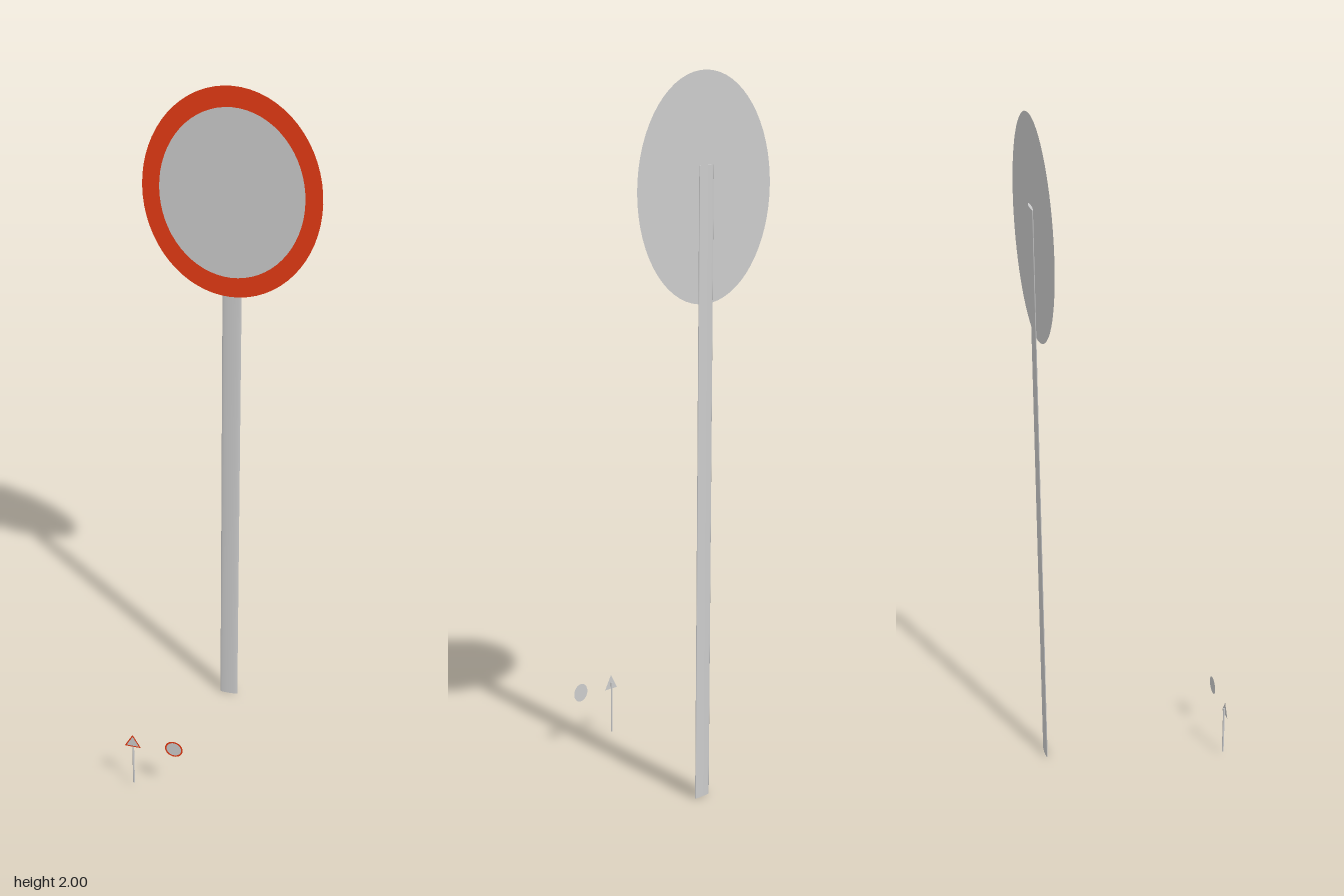
import * as THREE from 'three';

const grey = new THREE.MeshStandardMaterial({ color: 0xcccccc });
const red = new THREE.MeshStandardMaterial({ color: 0xe63b14 });

function add(parent, name, geometry, material, x, y, z) {
  const mesh = new THREE.Mesh(geometry, material);
  mesh.name = name;
  mesh.position.set(x, y, z);
  parent.add(mesh);
  return mesh;
}

// Regular polygon with one corner up, stretched to an ellipse where rx != ry
function outline(sides, rx, ry) {
  return Array.from({ length: sides }, (_, i) => {
    const a = Math.PI / 2 + (i / sides) * Math.PI * 2;
    return new THREE.Vector2(rx * Math.cos(a), ry * Math.sin(a));
  });
}

// Sheet-thin sign: red border and grey panel in front, plain grey back
function signPlate(name, sides, rx, ry, inner, x, y, z) {
  const plate = new THREE.Group();
  plate.name = name;
  plate.position.set(x, y, z);
  const full = new THREE.Shape(outline(sides, rx, ry));
  const border = full.clone();
  const inside = outline(sides, rx * inner, ry * inner);
  border.holes.push(new THREE.Path(inside));
  add(plate, 'border', new THREE.ShapeGeometry(border), red, 0, 0, 0);
  add(plate, 'panel', new THREE.ShapeGeometry(new THREE.Shape(inside)), grey, 0, 0, 0);
  add(plate, 'back', new THREE.ShapeGeometry(full), grey, 0, 0, -0.0005).rotation.y = Math.PI;
  return plate;
}

export function createModel() {
  const model = new THREE.Group();

  // Large sign on a flattened oval post
  model.add(signPlate('largeRoundSign', 64, 0.256, 0.306, 0.808, 0, 1.694, -0.2555));
  const post = add(model, 'largePost', new THREE.CylinderGeometry(1, 1, 1.755, 16),
    grey, 0.0025, 0.8775, -0.26);
  post.scale.set(0.028, 1, 0.0035);

  // Small bolts joining the post to the sign
  for (const y of [1.697, 1.54]) {
    const bolt = add(model, 'bolt', new THREE.CylinderGeometry(0.004, 0.004, 0.005, 8),
      grey, 0.022, y, -0.258);
    bolt.rotation.x = Math.PI / 2;
  }

  // Small triangular sign on a thin rod
  model.add(signPlate('smallTriangleSign', 3, 0.029, 0.029, 0.75, -0.147, 0.164, 0.26));
  add(model, 'smallPost', new THREE.CylinderGeometry(0.0028, 0.0028, 0.158, 12),
    grey, -0.147, 0.092, 0.2565);

  // Small loose round sign
  model.add(signPlate('smallRoundSign', 32, 0.027, 0.027, 0.82, -0.021, 0.168, 0.26));

  return model;
}
